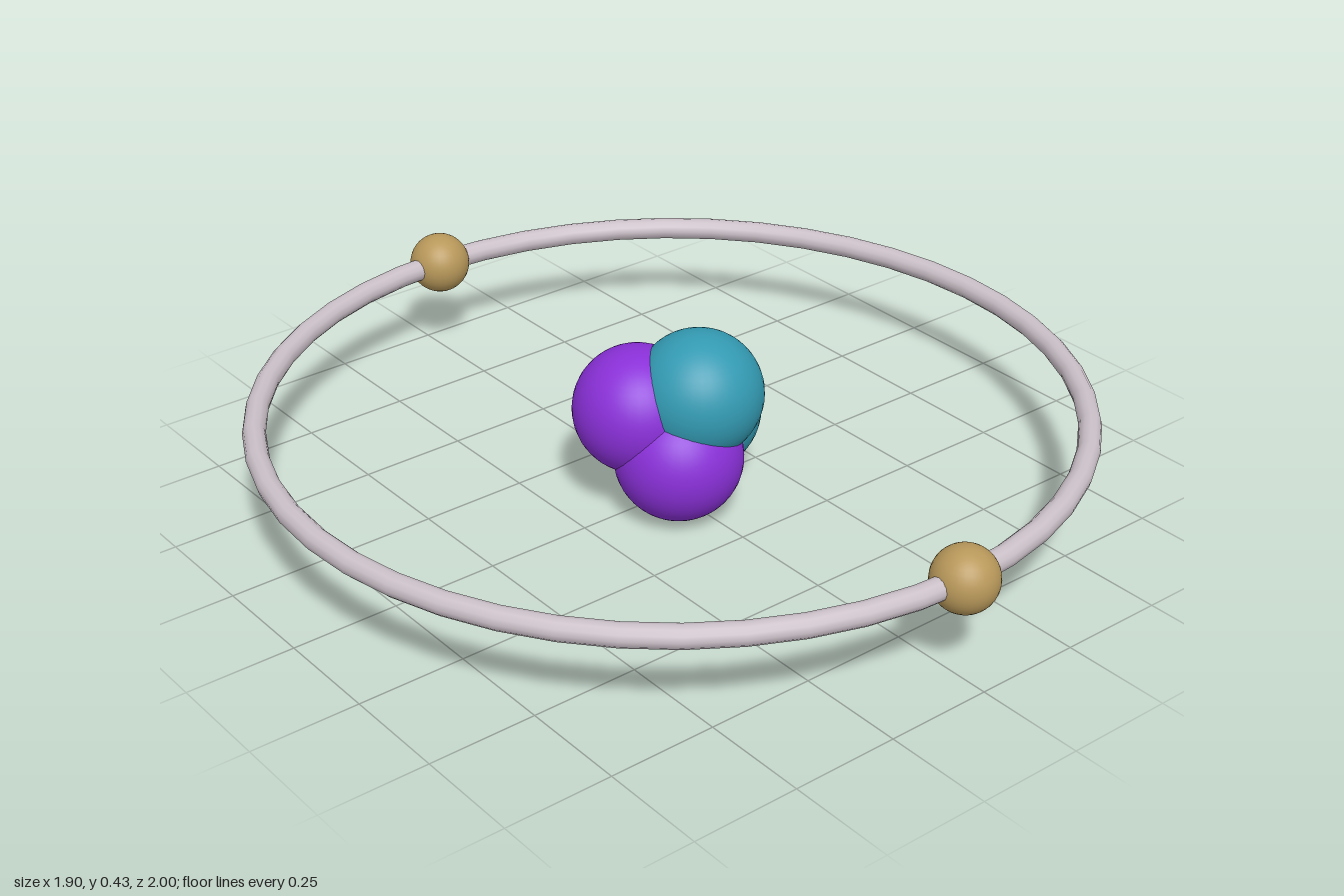
import * as THREE from 'three';

const CENTER_Y = 0.235;
const ORBIT_RADIUS = 0.926;

const material = (color) => new THREE.MeshStandardMaterial({ color });

export function createModel() {
  const model = new THREE.Group();
  model.name = 'atom';

  const purple = material(0x8a30d8);
  const teal = material(0x339ab2);
  const gold = material(0xb8985a);
  const ringGrey = material(0xcbc0c8);

  const addBall = (parent, name, geometry, mat, position) => {
    const ball = new THREE.Mesh(geometry, mat);
    ball.name = name;
    ball.position.set(...position);
    parent.add(ball);
  };

  // Nucleus: four overlapping balls
  const nucleus = new THREE.Group();
  nucleus.name = 'nucleus';
  model.add(nucleus);
  const nucleonGeometry = new THREE.SphereGeometry(0.146, 40, 28);
  addBall(nucleus, 'upperNeutron', nucleonGeometry, teal, [0.012, 0.288, 0.079]);
  addBall(nucleus, 'sideNeutron', nucleonGeometry, teal, [0.072, 0.196, 0]);
  addBall(nucleus, 'lowerProton', nucleonGeometry, purple, [-0.043, 0.147, 0.077]);
  addBall(nucleus, 'rearProton', nucleonGeometry, purple, [-0.088, 0.245, -0.014]);

  // Orbit ring lying flat around the nucleus
  const ring = new THREE.Mesh(new THREE.TorusGeometry(ORBIT_RADIUS, 0.026, 12, 48), ringGrey);
  ring.name = 'orbitRing';
  ring.rotation.x = Math.PI / 2;
  ring.position.y = CENTER_Y;
  model.add(ring);

  // Electrons at the front and back of the ring
  const electronGeometry = new THREE.SphereGeometry(0.073, 32, 20);
  for (const side of [1, -1]) {
    addBall(model, side > 0 ? 'frontElectron' : 'backElectron', electronGeometry, gold,
      [0, CENTER_Y, side * 0.927]);
  }

  return model;
}
